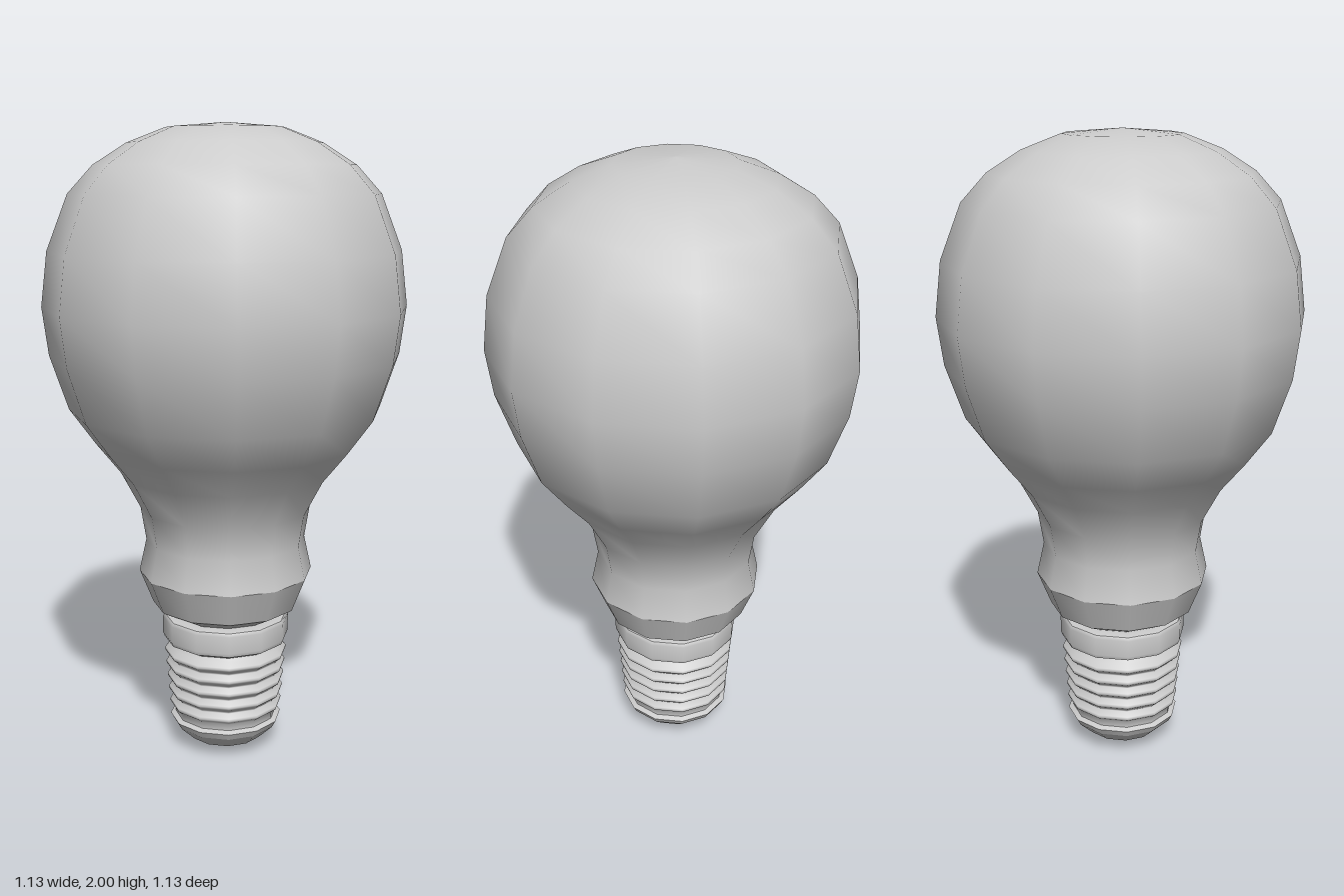
import * as THREE from 'three';

const SIDES = 12;

export function createModel() {
  const group = new THREE.Group();
  const material = new THREE.MeshStandardMaterial({ color: 0xcccccc });

  // Revolve a bottom-to-top profile of [radius, height] pairs
  function turned(name, profile, parent = group) {
    const points = profile.map(([r, y]) => new THREE.Vector2(r, y));
    const mesh = new THREE.Mesh(new THREE.LatheGeometry(points, SIDES), material);
    mesh.name = name;
    parent.add(mesh);
  }

  // Smooth bulb with a narrow neck
  turned('glassBulb', [
    [0.278, 0.6], [0.255, 0.705], [0.272, 0.81], [0.333, 0.925], [0.41, 1.02],
    [0.49, 1.13], [0.547, 1.3], [0.566, 1.45], [0.545, 1.62], [0.478, 1.79],
    [0.4, 1.875], [0.297, 1.94], [0.18, 1.985], [0, 2],
  ]);

  // Faceted collar with a bevelled underside
  const collar = new THREE.Group();
  collar.name = 'collar';
  group.add(collar);
  turned('collarWall', [[0.235, 0.492], [0.278, 0.6]], collar);
  turned('collarBevel', [[0.17, 0.457], [0.235, 0.492]], collar);
  turned('collarUnderside', [[0, 0.457], [0.17, 0.457]], collar);

  // Rim at the top of the screw cap
  const rim = new THREE.Group();
  rim.name = 'capRim';
  group.add(rim);
  turned('rimTop', [[0.198, 0.45], [0.17, 0.455], [0, 0.455]], rim);
  turned('rimWall', [[0.2, 0.372], [0.205, 0.385], [0.205, 0.44], [0.198, 0.45]], rim);
  turned('rimUnderside', [[0.172, 0.358], [0.2, 0.372]], rim);

  // Five rounded thread rings, tapering downwards
  const thread = [[0.166, 0.105]];
  for (let i = 0; i < 5; i++) {
    const y = 0.148 + i * 0.045;
    const r = 0.184 + i * 0.0038;
    thread.push([r - 0.018, y - 0.019], [r - 0.002, y - 0.006], [r, y], [r - 0.002, y + 0.006], [r - 0.018, y + 0.019]);
  }
  thread.push([0.172, 0.358]);
  turned('screwThread', thread);

  // Domed contact at the bottom
  const contact = new THREE.Group();
  contact.name = 'bottomContact';
  group.add(contact);
  turned('contactDome', [[0, 0], [0.065, 0.008], [0.122, 0.032], [0.17, 0.078]], contact);
  turned('contactEdge', [[0.17, 0.078], [0.182, 0.1]], contact);
  turned('contactTop', [[0.182, 0.1], [0.166, 0.108]], contact);

  return group;
}
